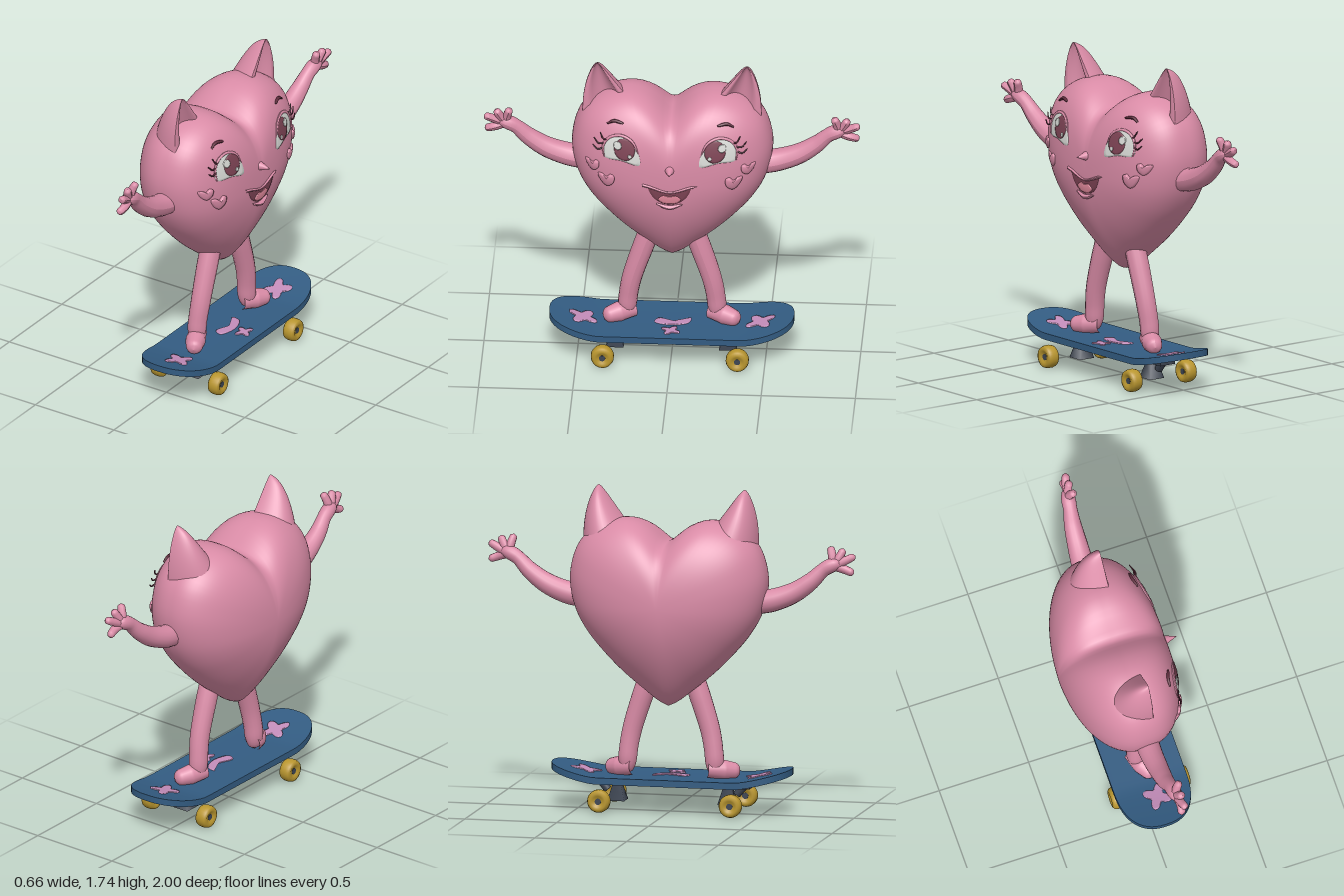
import * as THREE from 'three';
import { mergeVertices, toCreasedNormals } from 'three/addons/utils/BufferGeometryUtils.js';

const V = (x, y, z) => new THREE.Vector3(x, y, z);
const lerp = THREE.MathUtils.lerp;
const mat = (name, color) => {
  const m = new THREE.MeshStandardMaterial({ color });
  m.name = name;
  return m;
};

// Closed or open smooth 2D line through a few points
function smooth(pts, n = 40, closed = true) {
  const c = new THREE.CatmullRomCurve3(pts.map(([u, v]) => V(u, v, 0)), closed, 'centripetal');
  const out = c.getPoints(n).map(p => [p.x, p.y]);
  if (closed) out.pop();
  return out;
}
const ellipse = (u, v, a, b = a) => Array.from({ length: 24 }, (_, i) => {
  const t = i / 24 * Math.PI * 2;
  return [u + a * Math.cos(t), v + b * Math.sin(t)];
});

// Skin over closed rings with equal point counts
function loft(rings) {
  const n = rings[0].length, index = [];
  for (let i = 0; i < rings.length - 1; i++) for (let j = 0; j < n; j++) {
    const a = i * n + j, b = i * n + (j + 1) % n;
    index.push(a, b, b + n, a, b + n, a + n);
  }
  const g = new THREE.BufferGeometry().setFromPoints(rings.flat());
  g.setIndex(index);
  g.computeVertexNormals();
  return g;
}

// Thin plate laid on a surface: map(u, v, offset) gives the 3D point
function patch(outline, map, off, bulge = 0) {
  const pts = THREE.ShapeUtils.area(outline.map(([x, y]) => ({ x, y }))) < 0 ? [...outline].reverse() : outline;
  const cu = pts.reduce((s, p) => s + p[0], 0) / pts.length;
  const cv = pts.reduce((s, p) => s + p[1], 0) / pts.length;
  const ring = (f, o) => pts.map(([u, v]) => map(lerp(cu, u, f), lerp(cv, v, f), o));
  const rings = [ring(1, -0.004)];
  for (let k = 6; k >= 0; k--) rings.push(ring(Math.max(k / 6, 0.001), off + bulge * (1 - (k / 6) ** 2)));
  return loft(rings);
}

// Tapered tube with a rounded far end
function limb(pts, radii, seg = 28, sides = 16) {
  const curve = new THREE.CatmullRomCurve3(pts), g = new THREE.TubeGeometry(curve, seg, 1, sides);
  const p = g.attributes.position, v = V(0, 0, 0);
  for (let i = 0; i <= seg; i++) {
    const t = i / seg, c = curve.getPointAt(t), k = Math.min(t * (radii.length - 1), radii.length - 1.0001);
    const j = Math.floor(k), e = Math.max(0, (t - 0.82) / 0.18);
    const r = lerp(radii[j], radii[j + 1], k - j) * Math.sqrt(Math.max(1 - e * e, 0.0001));
    for (let s = 0; s <= sides; s++) {
      const q = i * (sides + 1) + s;
      v.fromBufferAttribute(p, q).sub(c).multiplyScalar(r).add(c);
      p.setXYZ(q, v.x, v.y, v.z);
    }
  }
  g.computeVertexNormals();
  return g;
}

function mirrorZ(geo) {
  const g = geo.clone().scale(1, 1, -1);
  const ix = g.index ? Array.from(g.index.array) : Array.from({ length: g.attributes.position.count }, (_, i) => i);
  for (let i = 0; i < ix.length; i += 3) [ix[i + 1], ix[i + 2]] = [ix[i + 2], ix[i + 1]];
  g.setIndex(ix);
  return g;
}

// Heart outline as a radius around its centre, angle measured from straight up
const CX = -0.03, CY = 1.13, DEPTH = 0.3;
const heartHalf = smooth([[0, 1.46], [0.025, 1.471], [0.06, 1.502], [0.13, 1.55], [0.22, 1.575], [0.32, 1.56],
  [0.42, 1.51], [0.49, 1.43], [0.53, 1.3], [0.53, 1.2], [0.5, 1.08], [0.44, 0.97], [0.35, 0.86], [0.24, 0.75],
  [0.13, 0.66], [0.05, 0.598], [0, 0.572]], 200, false).map(([z, y]) => [Math.atan2(z, y - CY), Math.hypot(z, y - CY)]);
// The notch and the tip fade out towards the middle of each face (s = 0)
function radius(angle, s) {
  const found = heartHalf.findIndex(h => h[0] >= angle);
  const i = found < 0 ? heartHalf.length - 1 : Math.max(1, found);
  const [a, b] = [heartHalf[i - 1], heartHalf[i]];
  const r = lerp(a[1], b[1], THREE.MathUtils.clamp((angle - a[0]) / (b[0] - a[0]), 0, 1));
  return r + (1 - s * s) * (0.06 * Math.exp(-angle / 0.18) - 0.05 * Math.exp((angle - Math.PI) / 0.18));
}
const taper = y => 1 - 0.38 * (Math.max(0, CY - y) / 0.56) ** 2;
const bodyX = (s, y, front) => {
  const p = front ? 2.5 : 2.1;
  return CX + (front ? 1 : -1) * DEPTH * taper(y) * Math.max(0, 1 - s ** p) ** (1 / p);
};
const face = (u, v, o) => {
  const d = Math.hypot(u, v - CY), angle = Math.atan2(Math.abs(u), v - CY);
  let s = 0.5;
  for (let i = 0; i < 12; i++) s = Math.min(1, d / radius(angle, s));
  return V(bodyX(s, v, true) + o, v, -u);
};
function heartBody() {
  let g = new THREE.SphereGeometry(1, 96, 56).rotateZ(-Math.PI / 2);
  const p = g.attributes.position;
  for (let i = 0; i < p.count; i++) {
    const x = p.getX(i), y = p.getY(i), z = Math.abs(p.getZ(i)) < 1e-6 ? 0 : p.getZ(i);
    const s = Math.min(1, Math.hypot(y, z)), r = radius(Math.atan2(Math.abs(z), y), s), ny = CY + y * r;
    p.setXYZ(i, Math.abs(x) < 1e-6 ? CX : bodyX(s, ny, x > 0), ny, z * r);
  }
  g.deleteAttribute('uv');
  g.deleteAttribute('normal');
  g = mergeVertices(g, 1e-5);
  g.computeVertexNormals();
  return g;
}

// Ear with a rounded back and a scooped front
function ear() {
  const rings = [];
  for (let k = 0; k <= 20; k++) {
    const t = 1 - (1 - k / 20) ** 1.5, zi = lerp(0.165, 0.385, t), zo = lerp(0.475, 0.41, t ** 2.5);
    const round = Math.sqrt(Math.max(0.001, 1 - t ** 24));
    const w = (zo - zi) / 2 * round, d = (0.2 * (1 - t) ** 0.55 + 0.004) * round;
    rings.push(Array.from({ length: 40 }, (_, j) => {
      const a = j / 40 * Math.PI * 2, u = Math.cos(a);
      const scoop = 0.4 * d * Math.max(0, 1 - (u / 0.72) ** 2);
      return V(a <= Math.PI ? 0.035 - d * Math.sin(a) : 0.035 + 0.015 * (1 - t) * -Math.sin(a) - scoop,
        1.44 + 0.297 * t, (zi + zo) / 2 - w * u);
    }));
  }
  return loft(rings);
}

// Skateboard deck with raised ends
const BX = 0.05;
const deckY = (x, z) => 0.168 + 0.06 * Math.max(0, (Math.abs(z) - 0.38) / 0.27) ** 1.3 + 0.004 * ((x - BX) / 0.2) ** 2;
const onDeck = (u, v, o) => V(v, deckY(v, u) + 0.018 + o, u);
function deck() {
  const rings = [];
  for (let k = 0; k <= 48; k++) {
    const z = -0.65 * Math.cos(k / 48 * Math.PI), e = Math.max(0, (Math.abs(z) - 0.38) / 0.27);
    const w = 0.2 * (k % 48 ? Math.max(0, 1 - e ** 2.4) ** (1 / 2.4) : 0), ring = [];
    for (const side of [1, -1]) for (let j = 0; j <= 10; j++) {
      const x = BX + side * w * (1 - j / 5);
      ring.push(V(x, deckY(x, z) + side * 0.018, z));
    }
    rings.push(ring);
  }
  return toCreasedNormals(loft(rings), 0.8);
}

export function createModel() {
  const pink = mat('pink skin', 0xd98ba6), blue = mat('board blue', 0x335c82), gold = mat('wheel gold', 0xb9962f);
  const dark = mat('truck slate', 0x3d4552), white = mat('eye white', 0xd8dad6), maroon = mat('iris maroon', 0x7d4354);
  const lash = mat('lash brown', 0x5e2c3c), lilac = mat('board lilac', 0xc48dba), tongueMat = mat('tongue pink', 0xe2899c);
  const model = new THREE.Group();
  model.name = 'heartSkater';
  const add = (name, geo, m) => {
    const mesh = new THREE.Mesh(geo, m);
    mesh.name = name;
    model.add(mesh);
  };
  const pair = (name, geo, m) => {
    add(name + 'Left', geo, m);
    add(name + 'Right', mirrorZ(geo), m);
  };
  const line = (pts, r) => limb(pts.map(([u, v, o = 0.004]) => face(u, v, o)), r, 16, 8);

  // Body, ears and limbs
  add('heartBody', heartBody(), pink);
  pair('ear', ear(), pink);
  pair('arm', limb([V(0, 1.14, 0.44), V(-0.005, 1.155, 0.55), V(0, 1.2, 0.67), V(0.005, 1.265, 0.765),
    V(0.015, 1.335, 0.84), V(0.025, 1.375, 0.93)], [0.065, 0.062, 0.056, 0.048, 0.037, 0.048]), pink);
  [[1.45, 0.86, 0.05], [1.44, 0.935, 0.045], [1.405, 0.998, 0.045], [1.312, 0.995, 0.02]].forEach(([y, z, x], i) =>
    pair('finger' + i, limb([V(0.02, 1.35, 0.885), V(0.03, (1.35 + y) / 2, (0.89 + z) / 2), V(x, y, z)],
      [0.025, 0.023, 0.02], 14, 10), pink));
  pair('leg', limb([V(0.03, 0.75, 0.11), V(0.03, 0.63, 0.152), V(0.028, 0.43, 0.214), V(0.02, 0.3, 0.235),
    V(0.02, 0.19, 0.24)], [0.057, 0.057, 0.054, 0.051, 0.052]), pink);
  pair('foot', limb([V(0.005, 0.235, 0.2), V(0.03, 0.23, 0.26), V(0.08, 0.218, 0.362)], [0.045, 0.054, 0.038]), pink);

  // Eyes, lashes, brows and cheek marks
  const eye = [[-0.262, 1.406], [-0.325, 1.385], [-0.355, 1.335], [-0.35, 1.278], [-0.255, 1.268], [-0.16, 1.25],
    [-0.164, 1.31], [-0.2, 1.38]];
  pair('eyeWhite', patch(smooth(eye), face, 0.004), white);
  pair('iris', patch(ellipse(-0.24, 1.332, 0.056, 0.06), face, 0.007), maroon);
  pair('eyeGlint', patch(ellipse(-0.277, 1.352, 0.022), face, 0.009), white);
  pair('eyeGlintSmall', patch(ellipse(-0.212, 1.298, 0.011), face, 0.009), white);
  pair('upperLid', line([eye[3], eye[2], eye[1], eye[0], eye[7], eye[6]], [0.004, 0.008, 0.008, 0.004]), pink);
  [[-0.335, 1.375, -0.372, 1.415], [-0.35, 1.352, -0.408, 1.382], [-0.356, 1.325, -0.412, 1.342]].forEach(([u, v, a, b], i) =>
    pair('lash' + i, line([[u, v], [(u + a) / 2, (v + b) / 2 - 0.014, 0.02], [a, b, 0.03]], [0.005, 0.004, 0.003]), lash));
  pair('brow', line([[-0.336, 1.452], [-0.3, 1.47], [-0.246, 1.464]], [0.005, 0.009, 0.009, 0.006]), lash);
  const cheek = (u, v, s) => smooth([[-0.036, 0.025], [-0.015, 0.026], [0.002, 0.014], [0.02, 0.03], [0.037, 0.022],
    [0.033, -0.012], [0.005, -0.032], [-0.022, -0.01]].map(([a, b]) => [u + a * s, v + b * s]));
  pair('cheekMarkOuter', patch(cheek(-0.415, 1.213, 1), face, 0.008, 0.01), pink);
  pair('cheekMarkInner', patch(cheek(-0.34, 1.14, 1.2), face, 0.008, 0.01), pink);

  // Nose and mouth
  add('nose', new THREE.ConeGeometry(0.032, 0.085, 24).rotateZ(-Math.PI / 2).translate(0.286, 1.222, 0), pink);
  add('mouth', patch(smooth([[-0.112, 1.124], [-0.04, 1.096], [0, 1.092], [0.04, 1.096], [0.112, 1.124], [0.09, 1.065],
    [0.045, 1.028], [0, 1.02], [-0.045, 1.028], [-0.09, 1.065]]), face, 0.004), maroon);
  add('tongue', patch(smooth([[-0.06, 1.052], [-0.03, 1.076], [0, 1.07], [0.03, 1.076], [0.06, 1.052], [0.035, 1.031],
    [0, 1.025], [-0.035, 1.031]]), face, 0.007, 0.002), tongueMat);
  add('upperLip', line([[-0.145, 1.134], [-0.11, 1.126], [0, 1.094], [0.11, 1.126], [0.145, 1.134]],
    [0.008, 0.007, 0.005, 0.007, 0.008]), pink);
  add('lowerLip', line([[-0.07, 1.02], [0, 1.002, 0.01], [0.07, 1.02]], [0.005, 0.014, 0.005]), pink);

  // Deck and painted blossoms
  add('deck', deck(), blue);
  const blossom = (z, x, size) => Array.from({ length: 40 }, (_, i) => {
    const a = i / 40 * Math.PI * 2, r = size * (0.74 + 0.26 * Math.cos(4 * a + 2));
    return [z + r * Math.cos(a), x + 0.9 * r * Math.sin(a)];
  });
  pair('deckBlossom', patch(blossom(0.47, 0.06, 0.085), onDeck, 0.005), lilac);
  add('deckBlossomMiddle', patch(blossom(0.0, 0.16, 0.055), onDeck, 0.005), lilac);
  add('deckRibbon', patch(smooth([[-0.1, 0.02], [-0.03, 0.06], [0.07, 0.03], [0.09, 0.07], [0, 0.1], [-0.09, 0.07]]),
    onDeck, 0.005), lilac);

  // Trucks and wheels
  pair('truckPlate', new THREE.BoxGeometry(0.1, 0.02, 0.17).translate(BX, 0.143, 0.345), dark);
  pair('truckHanger', new THREE.CylinderGeometry(0.032, 0.066, 0.085, 4).rotateY(Math.PI / 4).toNonIndexed()
    .translate(BX + 0.005, 0.085, 0.3), dark);
  pair('truckPivot', new THREE.CylinderGeometry(0.022, 0.022, 0.06, 12).rotateX(0.7).translate(BX, 0.12, 0.37), dark);
  const tire = new THREE.LatheGeometry([[0.016, -0.024], [0.03, -0.03], [0.043, -0.036], [0.056, -0.028], [0.061, -0.012],
    [0.061, 0.012], [0.056, 0.028], [0.043, 0.036], [0.03, 0.03], [0.016, 0.024]].map(([r, y]) => new THREE.Vector2(r, y)),
  32).rotateZ(Math.PI / 2);
  const hub = new THREE.CylinderGeometry(0.017, 0.017, 0.052, 20).rotateZ(Math.PI / 2);
  for (const [side, x] of [['Front', 0.235], ['Back', -0.13]]) {
    pair('wheel' + side, tire.clone().translate(x, 0.063, 0.358), gold);
    pair('wheelHub' + side, hub.clone().translate(x, 0.063, 0.358), dark);
  }
  return model;
}
